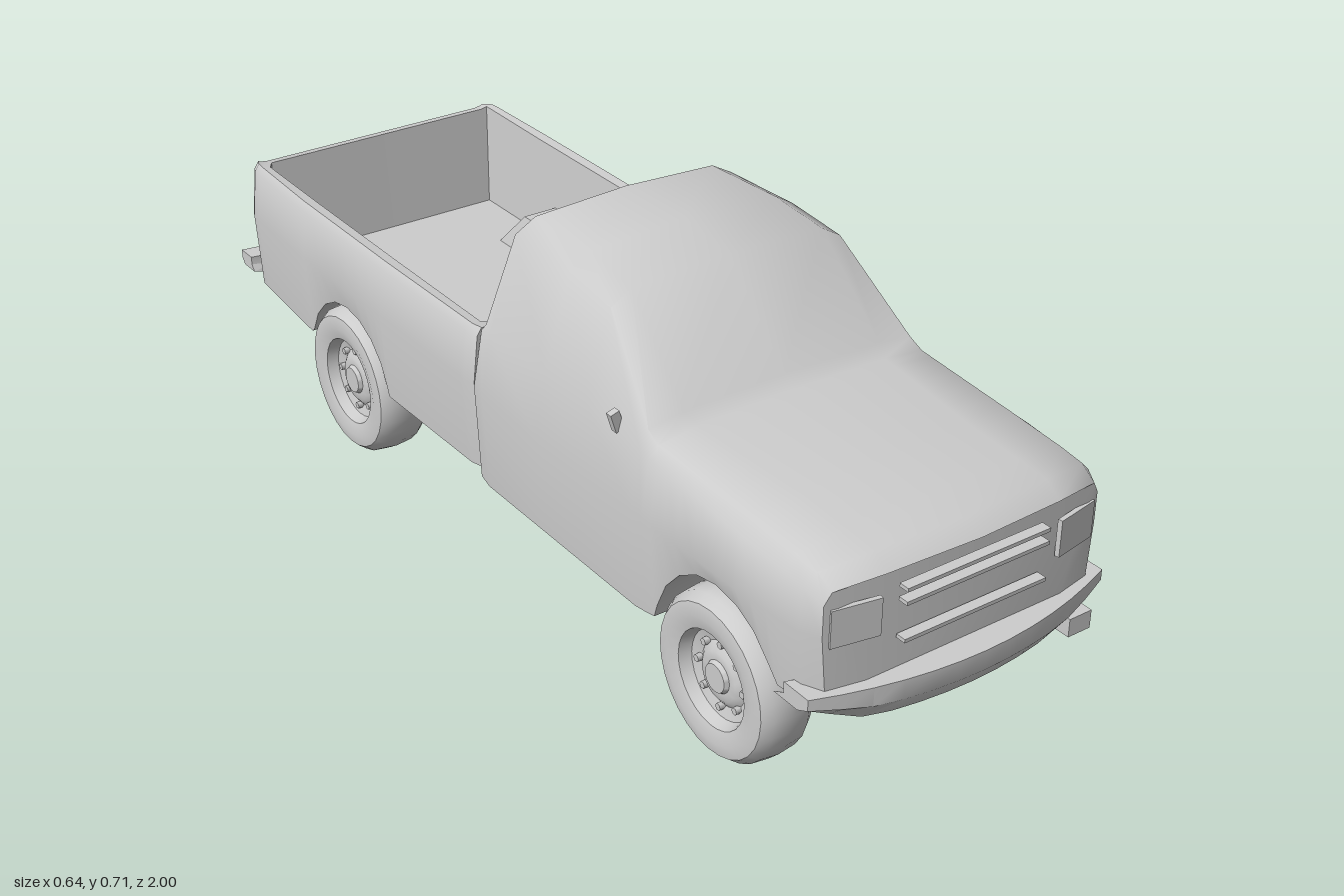
import * as THREE from 'three';
import { toCreasedNormals } from 'three/addons/utils/BufferGeometryUtils.js';

const paint = new THREE.MeshStandardMaterial({ color: 0xcccccc });
paint.name = 'light grey';

const FRONT_AXLE = 0.69, REAR_AXLE = -0.535, AXLE_Y = 0.155;

function part(parent, name, geometry, x = 0, y = 0, z = 0) {
  const mesh = new THREE.Mesh(geometry, paint);
  mesh.name = name;
  mesh.position.set(x, y, z);
  parent.add(mesh);
  return mesh;
}

// Smooth surface that keeps edges sharper than the crease angle
const creased = (g, angle = 0.6) => toCreasedNormals(g.index ? g.toNonIndexed() : g, angle);

// Closed surface through mirrored half sections, front to back, with end caps
function loft(sections) {
  const positions = [], index = [];
  const rings = sections.map(({ z, half }) => {
    const mirrored = half.slice(1, -1).reverse().map(([x, y]) => [-x, y]);
    return [...half, ...mirrored].map(([x, y]) => [x, y, z > 0.9 ? z - 0.4 * x * x : z]);
  });
  const n = rings[0].length;
  rings.forEach(r => r.forEach(p => positions.push(...p)));
  for (let i = 0; i < rings.length - 1; i++) {
    for (let k = 0; k < n; k++) {
      const a = i * n + k, b = i * n + (k + 1) % n;
      index.push(a, a + n, b, b, a + n, b + n);
    }
  }
  const cap = (ring, offset, flip) => {
    const contour = ring.map(p => new THREE.Vector2(p[0], p[1]));
    THREE.ShapeUtils.triangulateShape(contour, []).forEach(([a, b, c]) =>
      index.push(offset + a, offset + (flip ? c : b), offset + (flip ? b : c)));
  };
  cap(rings[0], 0, false);
  cap(rings[rings.length - 1], (rings.length - 1) * n, true);
  const g = new THREE.BufferGeometry();
  g.setAttribute('position', new THREE.Float32BufferAttribute(positions, 3));
  g.setIndex(index);
  return creased(g, 0.85);
}

// Adds interpolated stations around a wheel arch
function withArch(keys, zc, radius) {
  const extra = [];
  for (let k = 0; k <= 10; k++) {
    const z = zc + radius * Math.cos(k * Math.PI / 10);
    const i = keys.findIndex((key, j) => j < keys.length - 1 && key[0] >= z && z >= keys[j + 1][0]);
    const a = keys[i], b = keys[i + 1], t = (a[0] - z) / (a[0] - b[0]);
    extra.push(a.map((v, j) => v + (b[j] - v) * t));
  }
  return [...keys, ...extra].sort((a, b) => b[0] - a[0]);
}

const archY = (z, zc, radius, height) =>
  AXLE_Y + height * Math.sqrt(Math.max(0, 1 - ((z - zc) / radius) ** 2));

// Bonnet and cab
function cabGeometry() {
  // z, underside, sill, midX, beltX, beltY, shoulderX, shoulderY, roofX, roofY, top
  const keys = [
    [0.968, 0.24, 0.25, 0.288, 0.288, 0.43, 0.275, 0.452, 0.18, 0.46, 0.465],
    [0.935, 0.20, 0.24, 0.305, 0.300, 0.45, 0.278, 0.472, 0.18, 0.484, 0.488],
    [0.75, 0.19, 0.23, 0.315, 0.305, 0.465, 0.280, 0.486, 0.18, 0.498, 0.503],
    [0.50, 0.17, 0.18, 0.318, 0.302, 0.48, 0.285, 0.500, 0.20, 0.510, 0.514],
    [0.47, 0.165, 0.175, 0.318, 0.300, 0.485, 0.283, 0.515, 0.21, 0.525, 0.530],
    [0.31, 0.152, 0.175, 0.318, 0.297, 0.49, 0.247, 0.660, 0.205, 0.685, 0.692],
    [0.18, 0.165, 0.175, 0.318, 0.296, 0.49, 0.242, 0.675, 0.20, 0.700, 0.710],
    [0.00, 0.17, 0.175, 0.318, 0.296, 0.49, 0.238, 0.672, 0.195, 0.696, 0.705],
    [-0.04, 0.17, 0.175, 0.310, 0.290, 0.48, 0.280, 0.488, 0.20, 0.492, 0.495],
  ];
  return loft(withArch(keys, FRONT_AXLE, 0.165).map(
    ([z, under, sill, midX, beltX, beltY, sx, sy, rx, ry, top]) => {
      const edge = Math.max(sill, archY(z, FRONT_AXLE, 0.165, 0.185));
      return { z, half: [[0, under], [0.2, under], [0.2, edge], [midX - 0.01, edge],
        [midX, 0.37], [beltX, beltY], [sx, sy], [rx, ry], [0, top]] };
    }));
}

// Open load bed with sloping inner walls all round
function bedGeometry() {
  // z, underside, sill, midX, railX, top, floor
  const keys = [
    [-0.048, 0.18, 0.19, 0.305, 0.295, 0.48, 0.475],
    [-0.072, 0.18, 0.19, 0.312, 0.300, 0.48, 0.475],
    [-0.085, 0.18, 0.19, 0.312, 0.300, 0.48, 0.27],
    [-0.38, 0.15, 0.19, 0.315, 0.303, 0.48, 0.27],
    [-0.72, 0.18, 0.20, 0.315, 0.303, 0.482, 0.27],
    [-0.905, 0.20, 0.21, 0.308, 0.298, 0.485, 0.27],
    [-0.93, 0.20, 0.21, 0.306, 0.296, 0.485, 0.48],
    [-0.955, 0.21, 0.215, 0.295, 0.285, 0.48, 0.475],
  ];
  return loft(withArch(keys, REAR_AXLE, 0.16).map(
    ([z, under, sill, midX, railX, top, floor]) => {
      const edge = Math.max(sill, archY(z, REAR_AXLE, 0.16, 0.165));
      return { z, half: [[0, under], [0.2, under], [0.2, edge], [midX - 0.01, edge],
        [midX, 0.37], [railX, top - 0.015], [railX - 0.01, top], [0.272, top - 0.002],
        [0.257, floor], [0, floor]] };
    }));
}

// Bumper bar with swept ends, tapered upward, its lower edge raked by an offset in z
function bumperGeometry(width, height, depth, sweep, taper, rake) {
  const g = new THREE.BoxGeometry(width, height, depth, 12, 2, 1), p = g.attributes.position;
  for (let i = 0; i < p.count; i++) {
    const x = p.getX(i), y = p.getY(i), out = Math.max(0, Math.abs(x) - 0.2) / 0.11;
    p.setZ(i, p.getZ(i) - sweep * x * x + (y < -0.01 ? rake : 0));
    if (y < 0.01) p.setY(i, y + taper * out * (y < -0.01 ? 1 : 0.4));
  }
  return creased(g);
}

// Wheel housing in the bed: a block whose top shrinks toward the wall at x = 0
function housingGeometry(side) {
  const g = new THREE.BoxGeometry(0.1, 0.08, 0.36), p = g.attributes.position;
  for (let i = 0; i < p.count; i++) {
    if (p.getY(i) < 0) continue;
    p.setZ(i, p.getZ(i) * 0.6);
    if (p.getX(i) * side < 0) p.setX(i, p.getX(i) + side * 0.02);
  }
  return creased(g);
}

// Tyre with recessed rim, hub and nuts; outer face toward +x
function wheel(parent, name, side, z) {
  const group = new THREE.Group();
  group.name = name;
  const profile = [[0, -0.03], [0.08, -0.03], [0.09, -0.05], [0.115, -0.057], [0.138, -0.053],
    [0.151, -0.036], [0.155, 0], [0.151, 0.036], [0.138, 0.053], [0.115, 0.057], [0.09, 0.05],
    [0.082, 0.028], [0.06, 0.022], [0.045, 0.034], [0.03, 0.034], [0.026, 0.042], [0, 0.042]];
  const tyre = new THREE.LatheGeometry(profile.map(p => new THREE.Vector2(...p)), 28);
  part(group, 'tyreAndRim', creased(tyre.rotateZ(-Math.PI / 2), 0.7));
  for (let k = 0; k < 8; k++) {
    const a = k * Math.PI / 4;
    const nut = new THREE.CylinderGeometry(0.007, 0.007, 0.012, 6).rotateZ(-Math.PI / 2);
    part(group, 'wheelNut', nut, 0.028, 0.062 * Math.cos(a), 0.062 * Math.sin(a));
  }
  group.position.set(side * 0.262, AXLE_Y, z);
  if (side < 0) group.rotation.y = Math.PI;
  parent.add(group);
}

export function createModel() {
  const truck = new THREE.Group();
  truck.name = 'pickupTruck';
  part(truck, 'cab', cabGeometry());
  part(truck, 'loadBed', bedGeometry());

  // Bumpers
  part(truck, 'frontBumper', bumperGeometry(0.63, 0.075, 0.06, 0.6, 0.04, -0.025), 0, 0.232, 0.97);
  part(truck, 'rearBumper', bumperGeometry(0.62, 0.05, 0.045, 0.24, 0.02, 0.01), 0, 0.24, -0.954);
  part(truck, 'foglamp', new THREE.BoxGeometry(0.05, 0.036, 0.05), 0.265, 0.185, 0.925);

  // Grille bars and tailgate plate
  for (const y of [0.33, 0.40, 0.425]) {
    part(truck, 'grilleBar', new THREE.BoxGeometry(0.3, 0.007, 0.02), 0, y, 0.96);
  }
  part(truck, 'tailgatePlate', new THREE.BoxGeometry(0.13, 0.06, 0.006), 0, 0.37, -0.954);

  // Front crossmember dipping to a point in the middle
  const vee = new THREE.Shape();
  vee.moveTo(-0.16, 0.2).lineTo(0, 0.122).lineTo(0.16, 0.2).closePath();
  part(truck, 'crossmember',
    new THREE.ExtrudeGeometry(vee, { depth: 0.03, bevelEnabled: false }), 0, 0, FRONT_AXLE - 0.015);

  for (const side of [-1, 1]) {
    const label = side > 0 ? 'left' : 'right';

    // Headlights and door mirrors
    const lamp = part(truck, label + 'Headlight',
      new THREE.BoxGeometry(0.09, 0.07, 0.009), side * 0.232, 0.385, 0.945);
    lamp.rotation.y = side * 0.18;
    const mirror = part(truck, label + 'Mirror',
      new THREE.BoxGeometry(0.018, side > 0 ? 0.01 : 0.038, 0.014), side * 0.3, 0.504, 0.4);
    mirror.rotation.z = side * -0.3;

    part(truck, label + 'BedWheelHousing', housingGeometry(side), side * 0.215, 0.308, REAR_AXLE);
    wheel(truck, label + 'FrontWheel', side, FRONT_AXLE);
    wheel(truck, label + 'RearWheel', side, REAR_AXLE);

    // Axle halves, thicker toward the middle
    for (const z of [FRONT_AXLE, REAR_AXLE]) {
      const half = new THREE.CylinderGeometry(0.012, 0.018, 0.23, 10).rotateZ(-side * Math.PI / 2);
      part(truck, label + 'AxleHalf', half, side * 0.115, AXLE_Y, z);
    }
  }
  part(truck, 'differential', new THREE.SphereGeometry(0.032, 12, 8), 0, AXLE_Y, REAR_AXLE);
  return truck;
}
